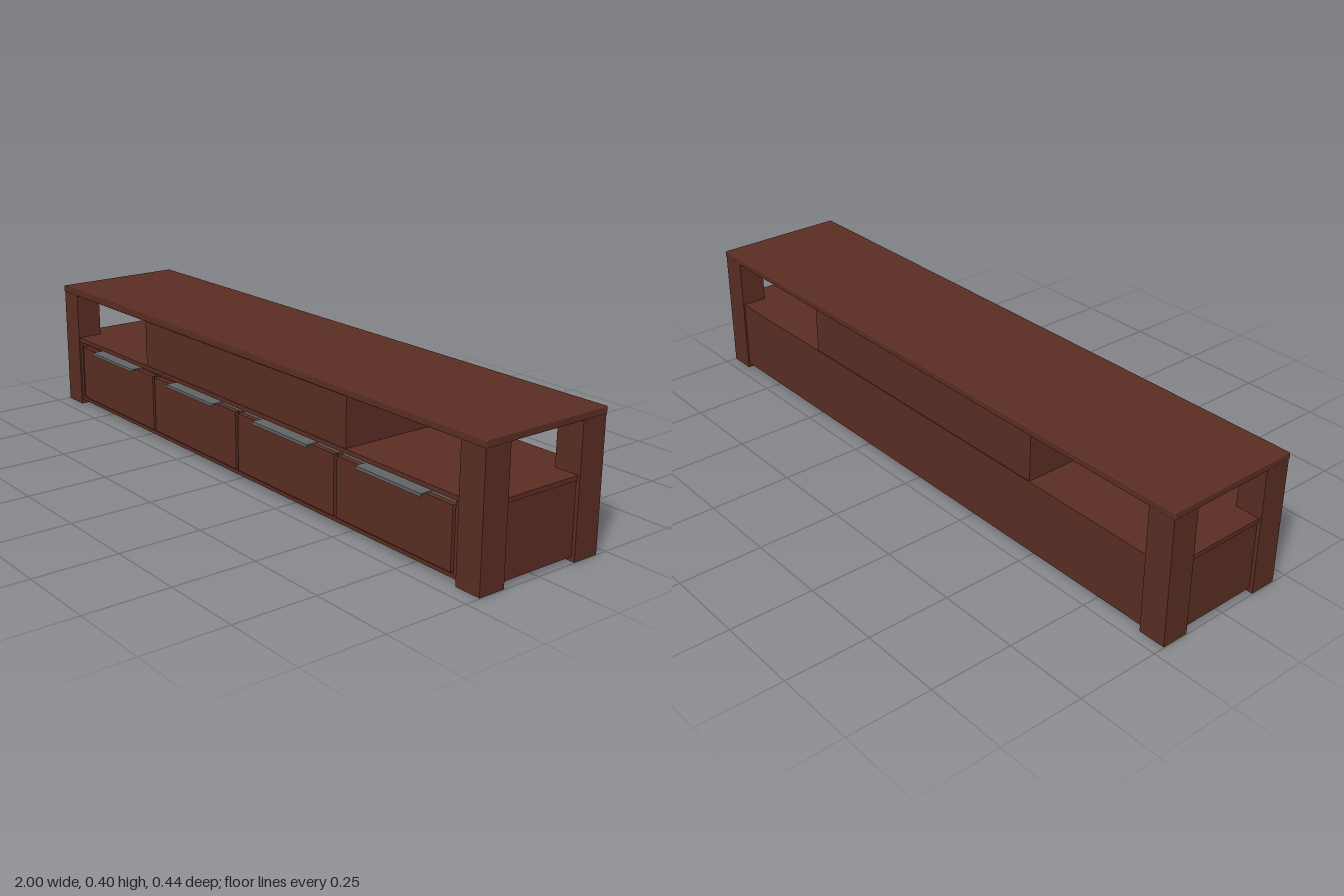
import * as THREE from 'three';
import { RoundedBoxGeometry } from 'three/addons/geometries/RoundedBoxGeometry.js';

const wood = new THREE.MeshStandardMaterial({ color: 0x5a2d23, side: THREE.DoubleSide });
wood.name = 'dark brown wood';
const metal = new THREE.MeshStandardMaterial({ color: 0x626464 });
metal.name = 'grey metal';

// Box given by its low and high limits on each axis
function block(parent, name, [x0, x1], [y0, y1], [z0, z1], material = wood) {
  const mesh = new THREE.Mesh(new THREE.BoxGeometry(x1 - x0, y1 - y0, z1 - z0), material);
  mesh.position.set((x0 + x1) / 2, (y0 + y1) / 2, (z0 + z1) / 2);
  mesh.name = name;
  parent.add(mesh);
  return mesh;
}

export function createModel() {
  const model = new THREE.Group();
  model.name = 'mediaBench';

  // Table top with softened edges
  const top = new THREE.Mesh(new RoundedBoxGeometry(2, 0.021, 0.422, 2, 0.003), wood);
  top.position.set(0, 0.3895, -0.006);
  top.name = 'tableTop';
  model.add(top);

  // Hollow corner legs, open at the foot
  for (const side of [-1, 1]) {
    for (const [name, z0, z1] of [['frontLeg', 0.12, 0.203], ['backLeg', -0.215, -0.132]]) {
      const xs = [side * 0.916, side * 0.998].sort((a, b) => a - b);
      const leg = block(model, name, xs, [0, 0.38], [z0, z1]);
      // drop the bottom face (fourth face of the box)
      const index = Array.from(leg.geometry.index.array);
      index.splice(18, 6);
      leg.geometry.setIndex(index);
      leg.geometry.clearGroups();
    }
    // End panel between the legs
    const panel = [side * 0.972, side * 0.987].sort((a, b) => a - b);
    block(model, 'endPanel', panel, [0.013, 0.22], [-0.135, 0.122]);
    // Front stile beside the outer drawer
    const stile = [side * 0.902, side * 0.918].sort((a, b) => a - b);
    block(model, 'frontStile', stile, [0.015, 0.22], [0.18, 0.198]);
  }

  // Open shelf, centre compartment, back panel and bottom rail
  block(model, 'shelf', [-0.991, 0.991], [0.22, 0.233], [-0.211, 0.2]);
  block(model, 'centreCompartment', [-0.49, 0.49], [0.233, 0.38], [-0.208, 0.198]);
  block(model, 'backPanel', [-0.918, 0.918], [0.015, 0.22], [-0.21, -0.195]);
  block(model, 'bottomRail', [-0.918, 0.918], [0.015, 0.026], [0.18, 0.198]);

  // Four drawer fronts with folded metal pulls in the gap above them
  for (let i = 0; i < 4; i++) {
    const x = (i - 1.5) * 0.45;
    const drawer = new THREE.Group();
    drawer.name = 'drawer';
    block(drawer, 'drawerFront', [x - 0.219, x + 0.219], [0.029, 0.205], [0.182, 0.2]);
    block(drawer, 'pullPlate', [x - 0.124, x + 0.124], [0.205, 0.209], [0.155, 0.218], metal);
    block(drawer, 'pullLip', [x - 0.124, x + 0.124], [0.2, 0.205], [0.214, 0.218], metal);
    model.add(drawer);
    // Thin divider behind each seam
    if (i < 3) block(model, 'drawerDivider', [x + 0.217, x + 0.233], [0.02, 0.206], [0.178, 0.19]);
  }

  return model;
}
